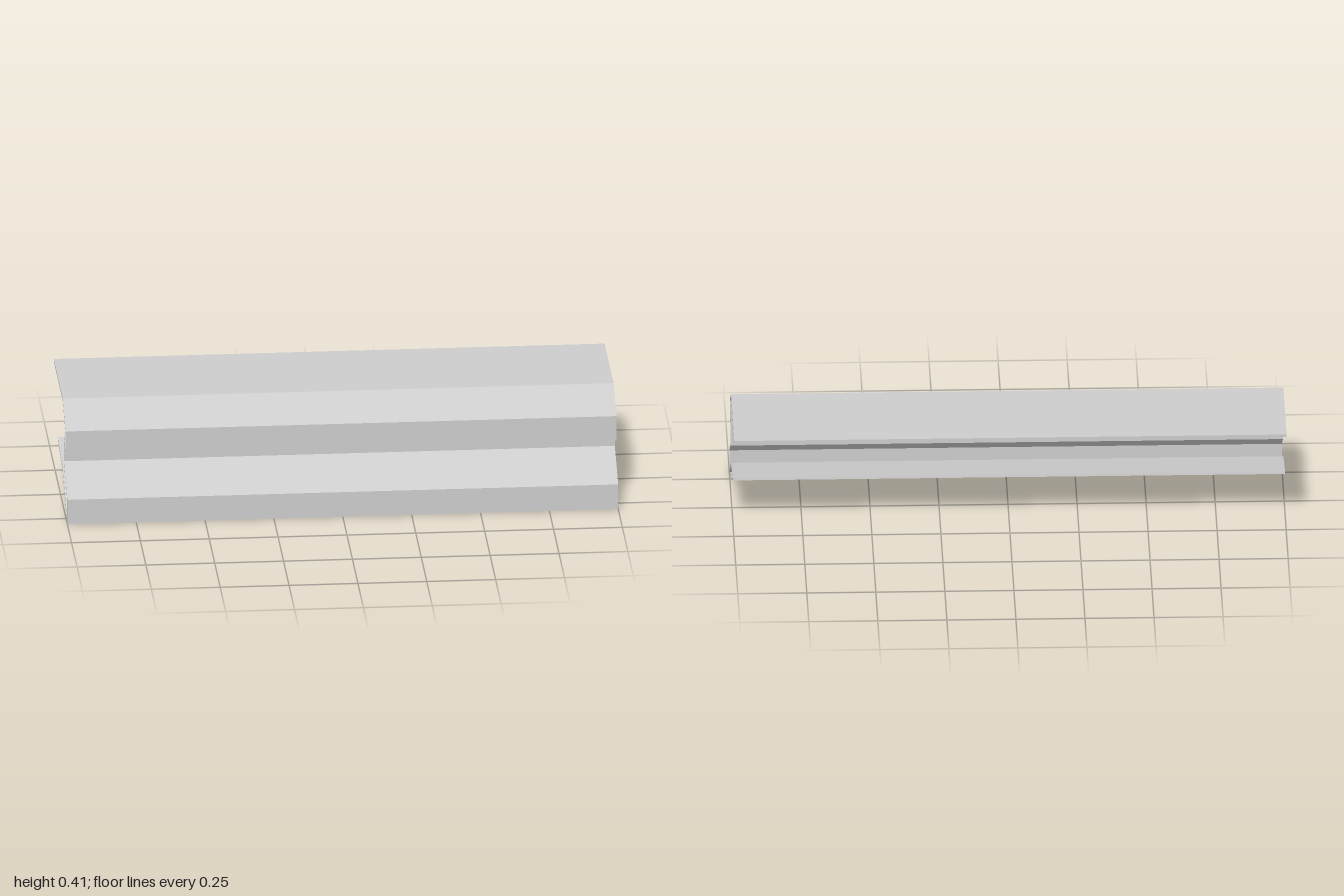
import * as THREE from 'three';

const LENGTH = 2;
const THICKNESS = 0.009;

// Centre line of the folded sheet as (z, y), from upper flange to lower flange
const FOLDS = [
  [-0.311, 0.4025], [0.097, 0.4025], [0.2275, 0.327], [0.2275, 0.2425],
  [0.1495, 0.2875], [0.1495, 0.183], [0.3065, 0.0925], [0.3065, 0.0078],
  [0.097, 0.129], [-0.125, 0.17],
].map(([z, y]) => new THREE.Vector2(z, y));

// Offsets an open polyline sideways with mitred corners
function offsetLine(points, distance) {
  const normals = points.slice(1).map((p, i) => {
    const d = p.clone().sub(points[i]).normalize();
    return new THREE.Vector2(-d.y, d.x);
  });
  return points.map((p, i) => {
    const a = normals[Math.max(i - 1, 0)];
    const b = normals[Math.min(i, normals.length - 1)];
    const miter = a.clone().add(b).divideScalar(1 + a.dot(b));
    return p.clone().addScaledVector(miter, distance);
  });
}

export function createModel() {
  const group = new THREE.Group();
  group.name = 'foldedSheetProfile';

  // Closed cross-section: one side forwards, the other side back
  const outline = [
    ...offsetLine(FOLDS, THICKNESS / 2),
    ...offsetLine(FOLDS, -THICKNESS / 2).reverse(),
  ];
  const geometry = new THREE.ExtrudeGeometry(new THREE.Shape(outline), {
    depth: LENGTH, bevelEnabled: false,
  });
  geometry.translate(0, 0, -LENGTH / 2);
  geometry.rotateY(-Math.PI / 2); // section lies in z-y, length runs along x

  const sheet = new THREE.Mesh(
    geometry,
    new THREE.MeshStandardMaterial({ color: 0xcccccc }),
  );
  sheet.name = 'foldedSheet';
  group.add(sheet);
  return group;
}
